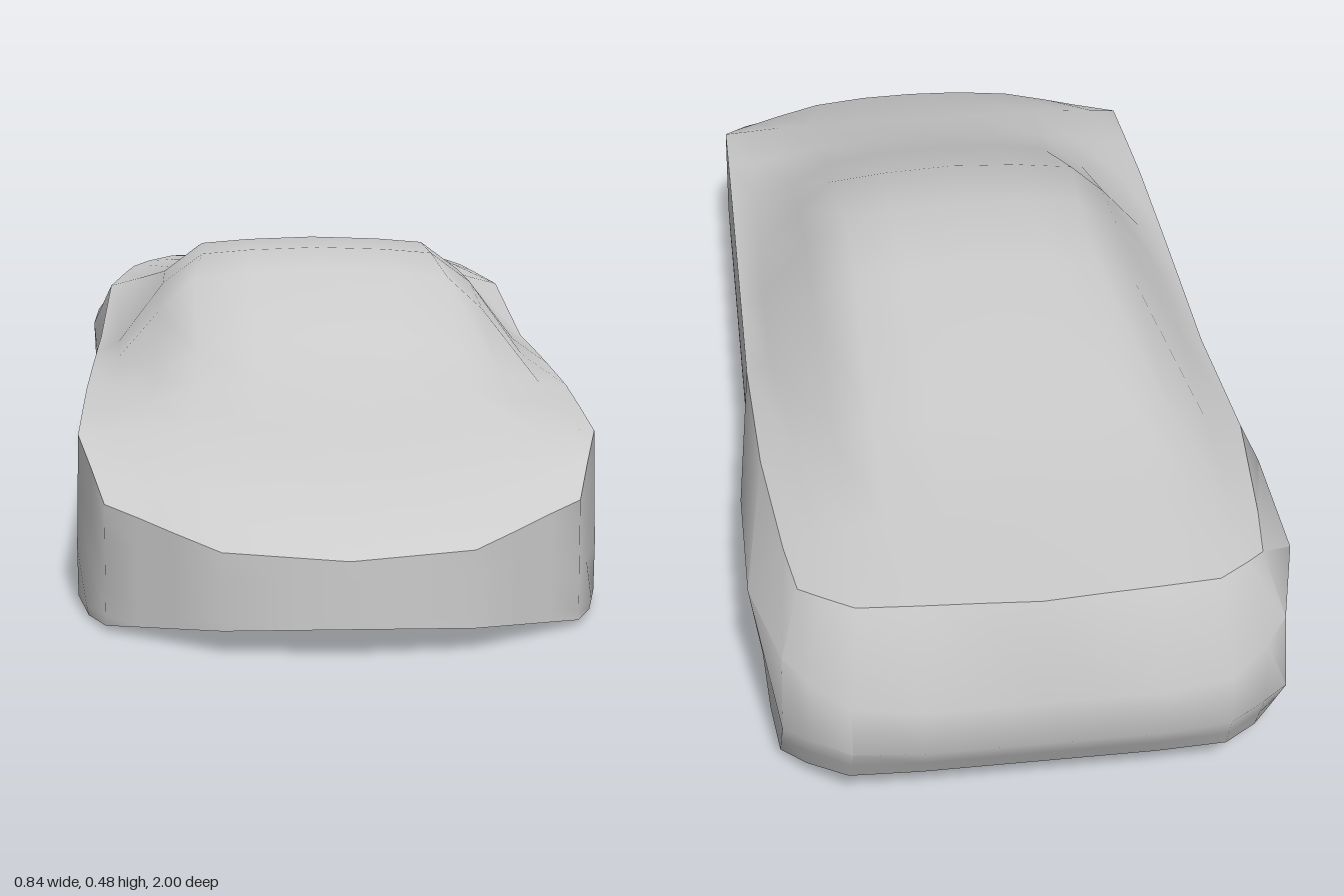
import * as THREE from 'three';
import { toCreasedNormals } from 'three/addons/utils/BufferGeometryUtils.js';

// Half cross-section at a constant z, from the centre line outward
const section = (z, xs, ys) => xs.map((x, i) => [x, ys[i], z]);

// Upper body sections, nose to tail; each last point lies on the belt line
const NOSE = [[0, 0.14, 1], [0.09, 0.144, 0.985], [0.18, 0.148, 0.97], [0.25, 0.165, 0.912], [0.3, 0.178, 0.87], [0.35, 0.19, 0.83]];
const TAIL = [[0, 0.385, -0.95], [0.09, 0.382, -0.94], [0.18, 0.378, -0.93], [0.27, 0.375, -0.92], [0.32, 0.368, -0.88], [0.35, 0.36, -0.85]];
const UPPER = [
  NOSE,
  [[0, 0.215, 0.88], [0.1, 0.215, 0.875], [0.2, 0.213, 0.86], [0.28, 0.215, 0.82], [0.33, 0.22, 0.785], [0.372, 0.228, 0.75]],
  section(0.67, [0, 0.12, 0.22, 0.29, 0.35, 0.395], [0.27, 0.272, 0.275, 0.272, 0.268, 0.265]),
  section(0.52, [0, 0.12, 0.22, 0.29, 0.35, 0.395], [0.316, 0.314, 0.306, 0.29, 0.28, 0.279]),
  section(0.38, [0, 0.12, 0.21, 0.28, 0.35, 0.395], [0.372, 0.368, 0.352, 0.312, 0.295, 0.29]),
  section(0.16, [0, 0.12, 0.22, 0.28, 0.35, 0.395], [0.463, 0.457, 0.445, 0.39, 0.31, 0.294]),
  section(0, [0, 0.12, 0.205, 0.275, 0.355, 0.395], [0.483, 0.479, 0.472, 0.42, 0.315, 0.295]),
  section(-0.2, [0, 0.12, 0.205, 0.275, 0.355, 0.395], [0.483, 0.479, 0.472, 0.42, 0.315, 0.295]),
  section(-0.53, [0, 0.12, 0.21, 0.27, 0.33, 0.387], [0.418, 0.416, 0.411, 0.392, 0.37, 0.355]),
  section(-0.75, [0, 0.12, 0.21, 0.27, 0.32, 0.365], [0.397, 0.396, 0.392, 0.384, 0.373, 0.357]),
  TAIL,
];

// Linear lookup in a list of [z, value], z falling
function lookup(table, z) {
  for (let i = 1; i < table.length; i++) {
    const [z0, v0] = table[i - 1], [z1, v1] = table[i];
    if (z >= z1) return v0 + (v1 - v0) * Math.min(1, Math.max(0, (z0 - z) / (z0 - z1)));
  }
  return table.at(-1)[1];
}
const SILL = [[1, 0.042], [0.97, 0.034], [0.83, 0.008], [0.67, 0], [0.4, 0.015], [-0.83, 0.02]];
const BULGE = [[-0.2, 0], [-0.53, 1], [-0.78, 1]];

// Side column from the belt line down to the sill, flared over the rear wheels
function sideColumn([x, y, z]) {
  const sill = lookup(SILL, z), b = lookup(BULGE, z);
  const side = Math.max(0, Math.min(1, (0.8 - z) / 0.13));
  const at = (t, level) => THREE.MathUtils.lerp(y + (sill - y) * t, level, b);
  return [
    [x, y, z],
    [THREE.MathUtils.lerp(x + 0.002 * side, 0.422, b), at(0.33, 0.28), z],
    [THREE.MathUtils.lerp(x + 0.004 * side, 0.405, b), at(0.66, 0.15), z],
    [x + (0.398 - x) * side, sill + 0.015, z],
    [x + (0.39 - x) * side, sill, z],
  ];
}

// Rear columns, from the corner to the centre
const rearColumn = (top, mid, low, lip) =>
  [top, mid, low, low.map((v, i) => (v + lip[i]) / 2), lip];
const REAR = [
  rearColumn(TAIL[5], [0.38, 0.27, -0.9], [0.385, 0.15, -0.92], [0.388, 0.02, -0.83]),
  rearColumn(TAIL[4], [0.345, 0.255, -0.94], [0.345, 0.15, -0.95], [0.35, 0.045, -0.89]),
  rearColumn(TAIL[3], [0.285, 0.235, -0.985], [0.285, 0.15, -0.99], [0.29, 0.07, -0.95]),
  ...[2, 1, 0].map((i) => {
    const x = TAIL[i][0];
    return rearColumn(TAIL[i], [x, 0.23, -0.998], [x, 0.15, -1], [x, 0.07, -0.955]);
  }),
];

// Mirror a half row: from its +x end through the centre to its -x end
const mirrorRow = (half) => [...half].reverse().concat(half.slice(1).map(([x, y, z]) => [-x, y, z]));

// Skin a grid of rows
function skin(rows) {
  const n = rows[0].length, index = [];
  for (let i = 0; i < rows.length - 1; i++) {
    for (let j = 0; j < n - 1; j++) {
      const a = i * n + j, b = a + n;
      index.push(a, a + 1, b, a + 1, b + 1, b);
    }
  }
  const geometry = new THREE.BufferGeometry();
  geometry.setAttribute('position', new THREE.Float32BufferAttribute(rows.flat(2), 3));
  geometry.setIndex(index);
  geometry.computeVertexNormals();
  return geometry;
}

export function createModel() {
  const group = new THREE.Group();
  group.name = 'carBodyShell';
  const material = new THREE.MeshStandardMaterial({ color: 0xcccccc, side: THREE.DoubleSide });
  const add = (name, geometry) => {
    const mesh = new THREE.Mesh(geometry, material);
    mesh.name = name;
    group.add(mesh);
  };

  // Hood, cabin and rear deck
  add('upperBody', skin(UPPER.map(mirrorRow).reverse()));

  // Nose, flanks and tail panel, open underneath
  const belt = [...NOSE, ...UPPER.slice(1, -1).map((row) => row.at(-1))];
  const columns = [...belt.map(sideColumn), ...REAR];
  const levels = [0, 1, 2, 3, 4].map((k) => mirrorRow(columns.map((c) => c[k])));
  add('lowerBody', toCreasedNormals(skin(levels), 0.7));

  return group;
}
